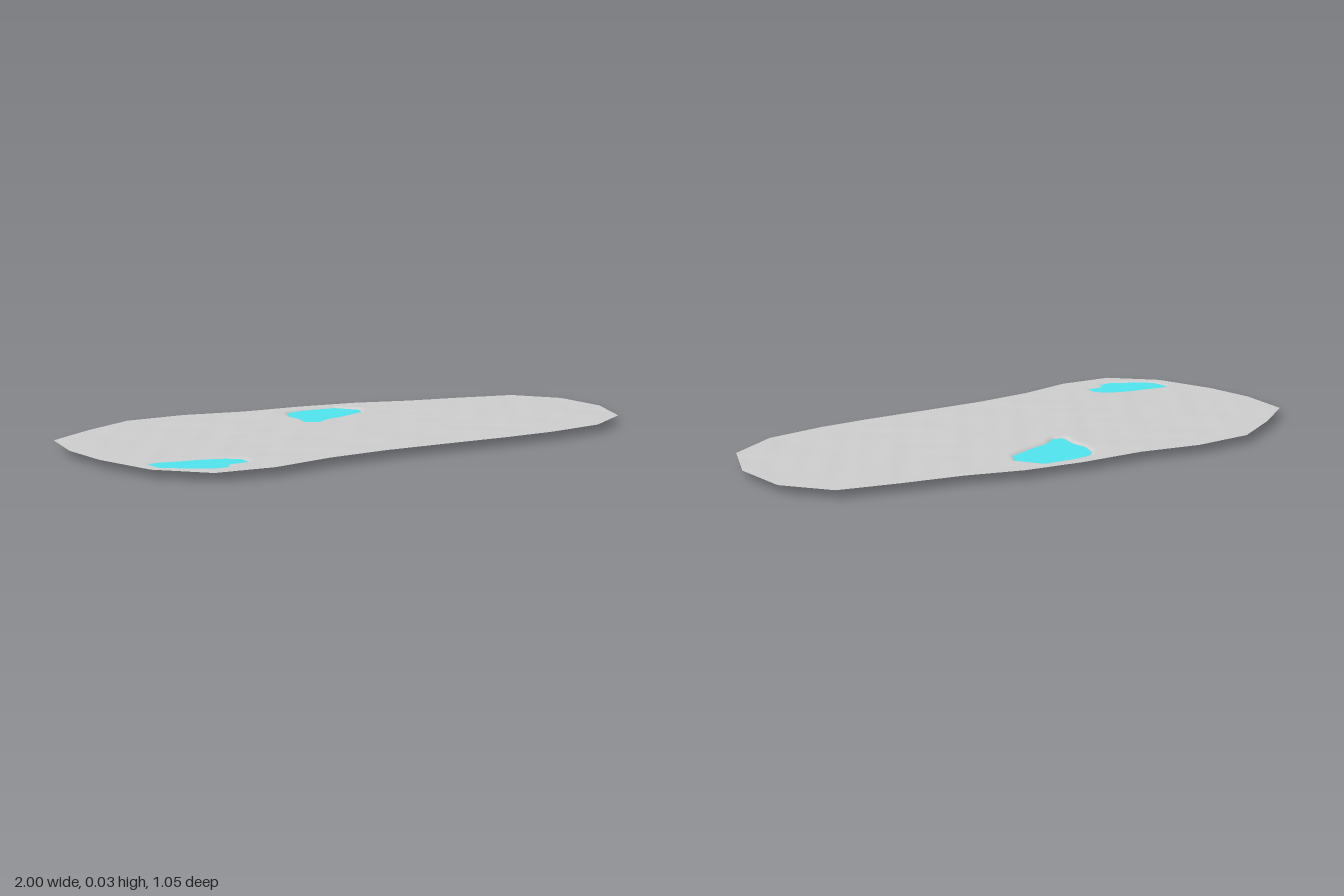
import * as THREE from 'three';

const LEVEL = 0.027; // height of the plain
const LIP = 0.015, BANK = 0.05; // bank starts LIP outside the shore and is BANK wide

// Far and near edges of the land, as z over x
const farEdge = [[-1, -0.14], [-0.95, -0.34], [-0.76, -0.445], [-0.56, -0.53], [-0.34, -0.515], [-0.13, -0.45],
  [0.1, -0.42], [0.31, -0.37], [0.5, -0.29], [0.7, -0.23], [0.9, -0.16], [1, 0.005]];
const nearEdge = [[-1, 0.05], [-0.955, 0.28], [-0.83, 0.44], [-0.63, 0.475], [-0.41, 0.45], [-0.19, 0.455],
  [0.03, 0.48], [0.27, 0.51], [0.47, 0.525], [0.69, 0.515], [0.885, 0.42], [0.99, 0.22], [1, 0.015]];

// Shorelines (x, z) and basin depths
const ponds = [
  { name: 'largePond', depth: 0.027, shore: [[-0.02, -0.33], [0.015, -0.36], [0.085, -0.365], [0.2, -0.345],
    [0.25, -0.255], [0.21, -0.195], [0.095, -0.165], [0.02, -0.15], [-0.04, -0.115], [-0.075, -0.135],
    [-0.05, -0.205], [-0.05, -0.265]] },
  { name: 'smallPond', depth: 0.015, shore: [[-0.91, 0.19], [-0.875, 0.185], [-0.797, 0.21], [-0.715, 0.235],
    [-0.67, 0.255], [-0.63, 0.295], [-0.64, 0.35], [-0.71, 0.34], [-0.735, 0.375], [-0.785, 0.375],
    [-0.866, 0.315], [-0.91, 0.27]] },
];

const smooth = (t) => THREE.MathUtils.smoothstep(t, 0, 1);

function edgeZ(edge, x) {
  let k = 1;
  while (k < edge.length - 1 && edge[k][0] < x) k++;
  const [x0, z0] = edge[k - 1], [x1, z1] = edge[k];
  return z0 + (z1 - z0) * (x - x0) / (x1 - x0);
}

// Signed distance to a closed outline, negative inside
function signedDistance(poly, x, z) {
  let d = Infinity, inside = false;
  poly.forEach(([ax, az], i) => {
    const [bx, bz] = poly[(i + 1) % poly.length];
    const ex = bx - ax, ez = bz - az;
    const t = THREE.MathUtils.clamp(((x - ax) * ex + (z - az) * ez) / (ex * ex + ez * ez), 0, 1);
    d = Math.min(d, Math.hypot(x - ax - ex * t, z - az - ez * t));
    if ((az > z) !== (bz > z) && x < ax + ex * (z - az) / ez) inside = !inside;
  });
  return inside ? -d : d;
}

function groundHeight(x, z, edgeFade) {
  const ripple = 0.0007 * (Math.sin(23 * x + 9 * z + 2 * Math.sin(11 * z)) + Math.sin(31 * z - 14 * x + 2 * Math.sin(9 * x))
    + 0.6 * Math.sin(47 * x + 38 * z));
  let drop = 0, calm = 1;
  for (const p of ponds) {
    const s = smooth((LIP - signedDistance(p.shore, x, z)) / BANK);
    drop += p.depth * s;
    calm *= 1 - s;
  }
  return LEVEL - drop + ripple * calm * edgeFade;
}

// Land sheet: columns along x, each spanning from the far to the near edge
function landGeometry() {
  const rows = 120, xs = [...farEdge, ...nearEdge].map((p) => p[0]);
  for (let i = 1; i < 220; i++) xs.push(-1 + i / 110);
  const cols = [...new Set(xs)].sort((a, b) => a - b);
  const pos = [], index = [];
  cols.forEach((x, i) => {
    const z0 = edgeZ(farEdge, x), z1 = edgeZ(nearEdge, x);
    for (let j = 0; j <= rows; j++) {
      const z = z0 + (z1 - z0) * j / rows;
      const fade = smooth(Math.min(z - z0, z1 - z, 1 - Math.abs(x)) / 0.08);
      pos.push(x, groundHeight(x, z, fade), z);
      if (i < cols.length - 1 && j < rows) {
        const a = i * (rows + 1) + j, c = a + rows + 1;
        index.push(a, a + 1, c, a + 1, c + 1, c);
      }
    }
  });
  const g = new THREE.BufferGeometry();
  g.setAttribute('position', new THREE.Float32BufferAttribute(pos, 3));
  g.setIndex(index);
  g.computeVertexNormals();
  return g;
}

// Flat water sheet, reaching a little under the bank all round
function waterGeometry(shore, margin) {
  const n = shore.length;
  const pts = shore.map(([x, z], i) => {
    const [px, pz] = shore[(i + n - 1) % n], [qx, qz] = shore[(i + 1) % n];
    const out = new THREE.Vector2(qz - pz, px - qx).setLength(margin);
    if (signedDistance(shore, x + out.x * 0.1, z + out.y * 0.1) < 0) out.negate();
    return new THREE.Vector2(x + out.x, -(z + out.y));
  });
  return new THREE.ShapeGeometry(new THREE.Shape(pts)).rotateX(-Math.PI / 2);
}

export function createModel() {
  const model = new THREE.Group();
  model.name = 'landWithPonds';

  const land = new THREE.Mesh(landGeometry(),
    new THREE.MeshStandardMaterial({ color: 0xcccccc, side: THREE.DoubleSide }));
  land.name = 'land';
  model.add(land);

  const waterMaterial = new THREE.MeshStandardMaterial({ color: 0x4fe3ec, side: THREE.DoubleSide });
  for (const p of ponds) {
    const water = new THREE.Mesh(waterGeometry(p.shore, 0.025), waterMaterial);
    water.name = p.name + 'Water';
    water.position.y = LEVEL - p.depth * smooth(LIP / BANK);
    model.add(water);
  }
  return model;
}
